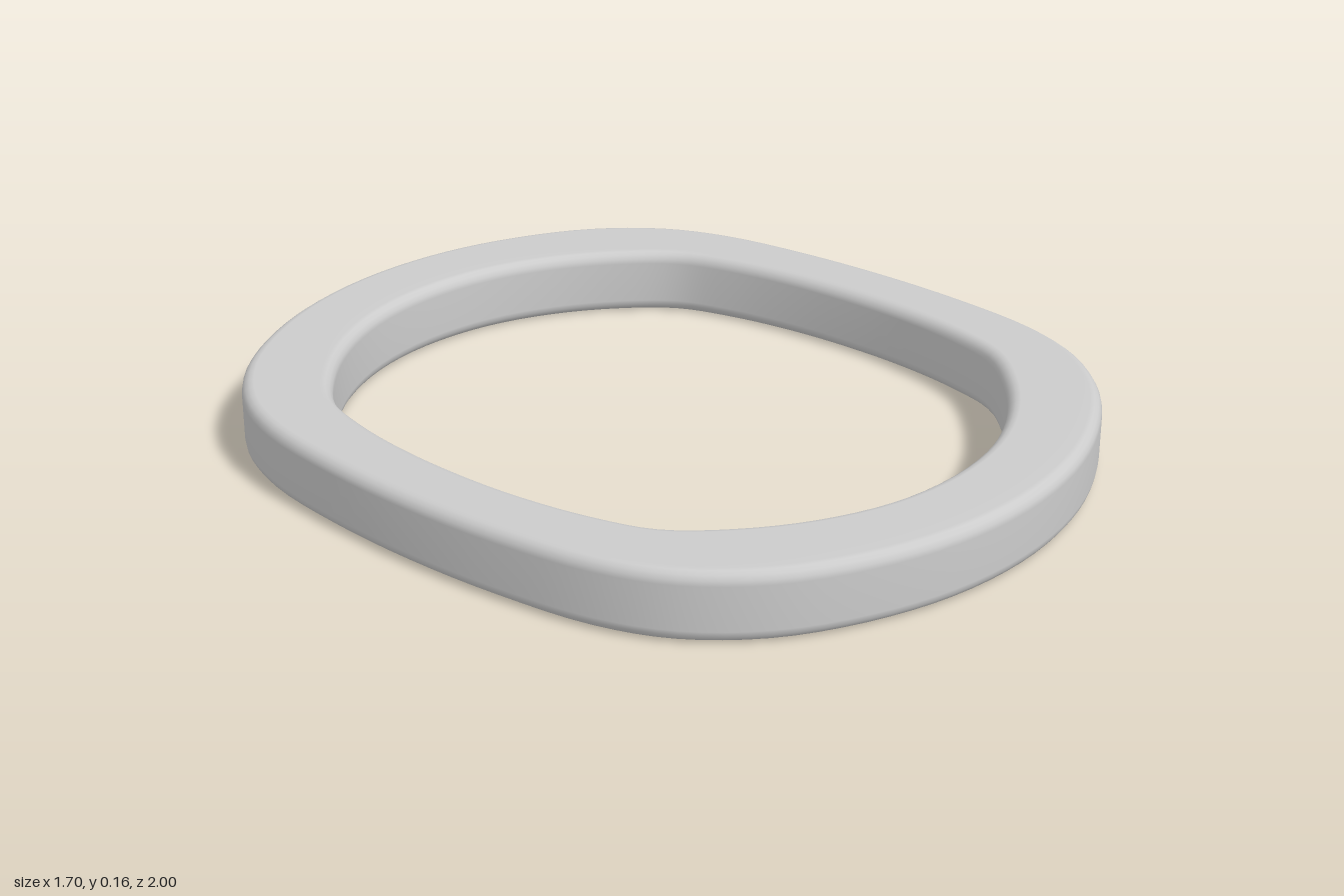
import * as THREE from 'three';

// One quarter of a plan outline, [x, z] from the front middle to the left middle
const OUTER = [[0, 1], [0.22, 0.976], [0.42, 0.908], [0.6, 0.8], [0.73, 0.655], [0.8, 0.49], [0.838, 0.25], [0.85, 0]];
const INNER = [[0, 0.8], [0.19, 0.775], [0.36, 0.703], [0.5, 0.6], [0.6, 0.485], [0.645, 0.35], [0.672, 0.18], [0.68, 0]];
const HEIGHT = 0.163;
const ROUND = 0.03;
const STEPS = 112;
const CORNER_STEPS = 4;

// Mirror the quarter into a smooth closed loop
function closedOutline(quarter) {
  const half = [...quarter, ...quarter.slice(0, -1).reverse().map(([x, z]) => [x, -z])];
  const loop = [...half, ...half.slice(1, -1).reverse().map(([x, z]) => [-x, z])];
  return new THREE.CatmullRomCurve3(loop.map(([x, z]) => new THREE.Vector3(x, 0, z)), true, 'centripetal');
}

// Rounded-rectangle section, counterclockwise: distance from the inner edge, height
function section(width) {
  const points = [];
  const corners = [[width - ROUND, ROUND], [width - ROUND, HEIGHT - ROUND], [ROUND, HEIGHT - ROUND], [ROUND, ROUND]];
  corners.forEach(([cx, cy], k) => {
    for (let i = 0; i <= CORNER_STEPS; i++) {
      const a = (k - 1 + i / CORNER_STEPS) * Math.PI / 2;
      points.push([cx + ROUND * Math.cos(a), cy + ROUND * Math.sin(a)]);
    }
  });
  return points;
}

// Loft the section around the two outlines
function ringGeometry() {
  const outer = closedOutline(OUTER), inner = closedOutline(INNER);
  const positions = [], index = [];
  const n = 4 * (CORNER_STEPS + 1);
  for (let i = 0; i < STEPS; i++) {
    const o = outer.getPoint(i / STEPS), p = inner.getPoint(i / STEPS);
    const across = o.clone().sub(p), width = across.length();
    across.normalize();
    for (const [u, y] of section(width)) positions.push(p.x + across.x * u, y, p.z + across.z * u);
    const next = (i + 1) % STEPS;
    for (let j = 0; j < n; j++) {
      const k = (j + 1) % n;
      const a = i * n + j, b = next * n + j, c = next * n + k, d = i * n + k;
      index.push(a, b, c, a, c, d);
    }
  }
  const geometry = new THREE.BufferGeometry();
  geometry.setAttribute('position', new THREE.Float32BufferAttribute(positions, 3));
  geometry.setIndex(index);
  geometry.computeVertexNormals();
  return geometry;
}

export function createModel() {
  const group = new THREE.Group();
  group.name = 'ovalRing';
  const ring = new THREE.Mesh(ringGeometry(), new THREE.MeshStandardMaterial({ color: 0xcccccc }));
  ring.name = 'ring';
  group.add(ring);
  return group;
}
